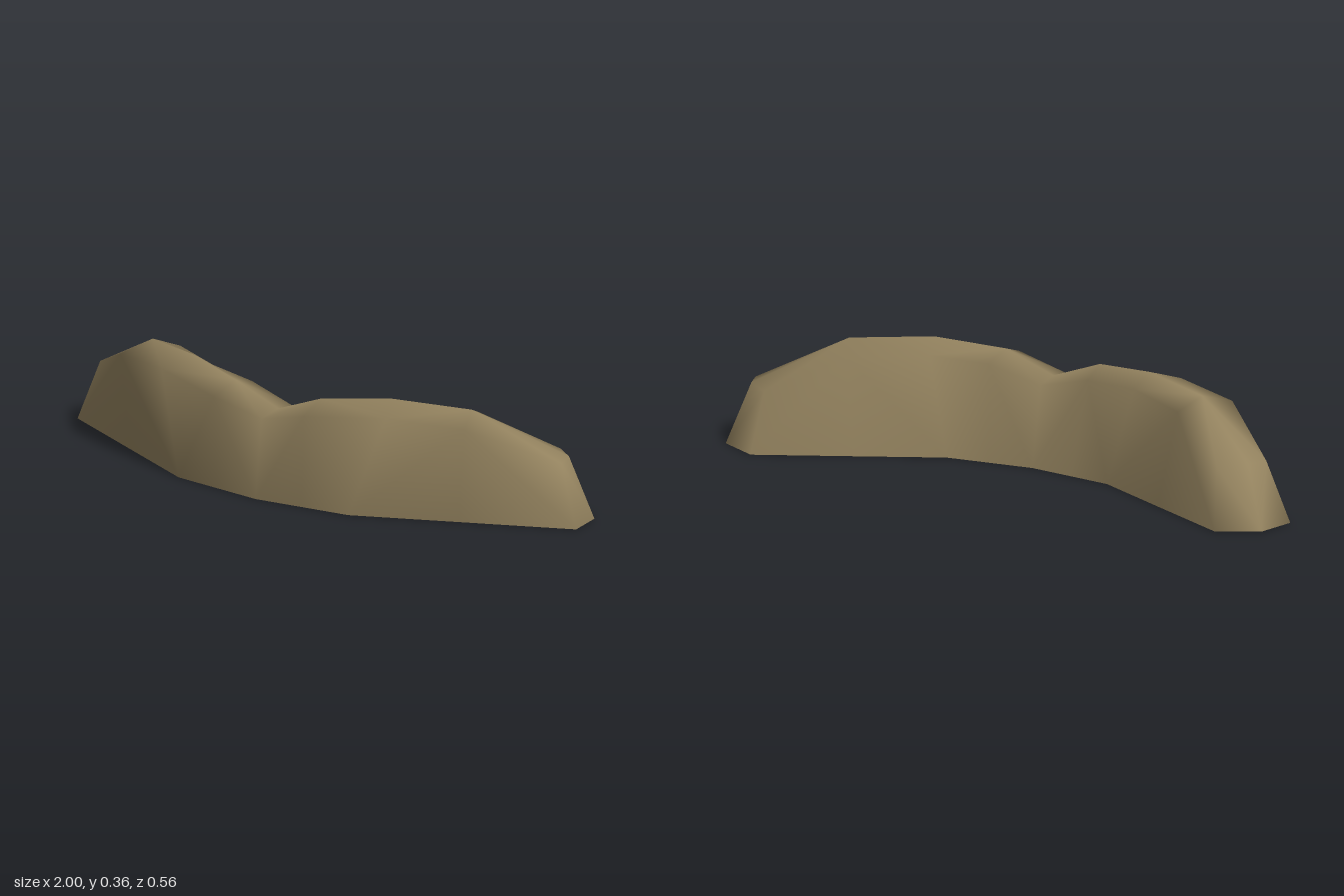
import * as THREE from 'three';

// Cross-sections of the left half, from the middle to the tip.
// Each runs: front foot, front shoulder, ridge, back shoulder, back foot.
const HALF = [
  [[0, 0, 0.28], [0, 0.255, 0.25], [0, 0.27, 0.165], [0, 0.258, 0.085], [0, 0, 0.035]],
  [[0.17, 0, 0.26], [0.18, 0.298, 0.264], [0.17, 0.333, 0.165], [0.18, 0.305, 0.07], [0.15, 0, 0.017]],
  [[0.34, 0, 0.24], [0.45, 0.323, 0.187], [0.39, 0.358, 0.095], [0.37, 0.315, 0.03], [0.29, 0, 0]],
  [[0.66, 0, 0.085], [0.69, 0.308, 0.094], [0.64, 0.343, -0.007], [0.6, 0.307, -0.095], [0.55, 0, -0.133]],
  [[1, 0, -0.08], [0.925, 0.197, -0.1], [0.9, 0.2, -0.17], [0.82, 0.197, -0.23], [0.84, 0, -0.28]],
];
const TIP = [0.97, 0, -0.21];

const flip = ([x, y, z]) => [-x, y, z];

export function createModel() {
  const group = new THREE.Group();
  group.name = 'curvedMound';
  const earth = new THREE.MeshStandardMaterial({ color: 0x94835f, side: THREE.DoubleSide });
  earth.name = 'earthBrown';

  const rings = [...HALF.slice(1).reverse().map((r) => r.map(flip)), ...HALF];
  const n = HALF[0].length;
  const last = rings.length - 1;
  const points = [...rings.flat(), flip(TIP), TIP];
  const leftTip = points.length - 1;
  const rightTip = leftTip - 1;
  const index = [];

  // Walls and top, open underneath; the diagonals alternate so both halves mirror
  for (let i = 0; i < last; i++) {
    for (let j = 0; j < n - 1; j++) {
      const a = i * n + j;
      const b = a + n;
      if ((i + (j > 1 ? 1 : 0)) % 2 === 0) index.push(a, b, b + 1, a, b + 1, a + 1);
      else index.push(a, b, a + 1, b, b + 1, a + 1);
    }
  }

  // Rounded ends, fanned from the tips
  const end = last * n;
  for (let j = 0; j < n - 1; j++) {
    index.push(leftTip, end + j + 1, end + j);
    index.push(rightTip, j, j + 1);
  }

  const shell = new THREE.BufferGeometry();
  shell.setAttribute('position', new THREE.Float32BufferAttribute(points.flat(), 3));
  shell.setIndex(index);
  shell.computeVertexNormals();
  const body = new THREE.Mesh(shell, earth);
  body.name = 'moundBody';
  group.add(body);
  return group;
}
